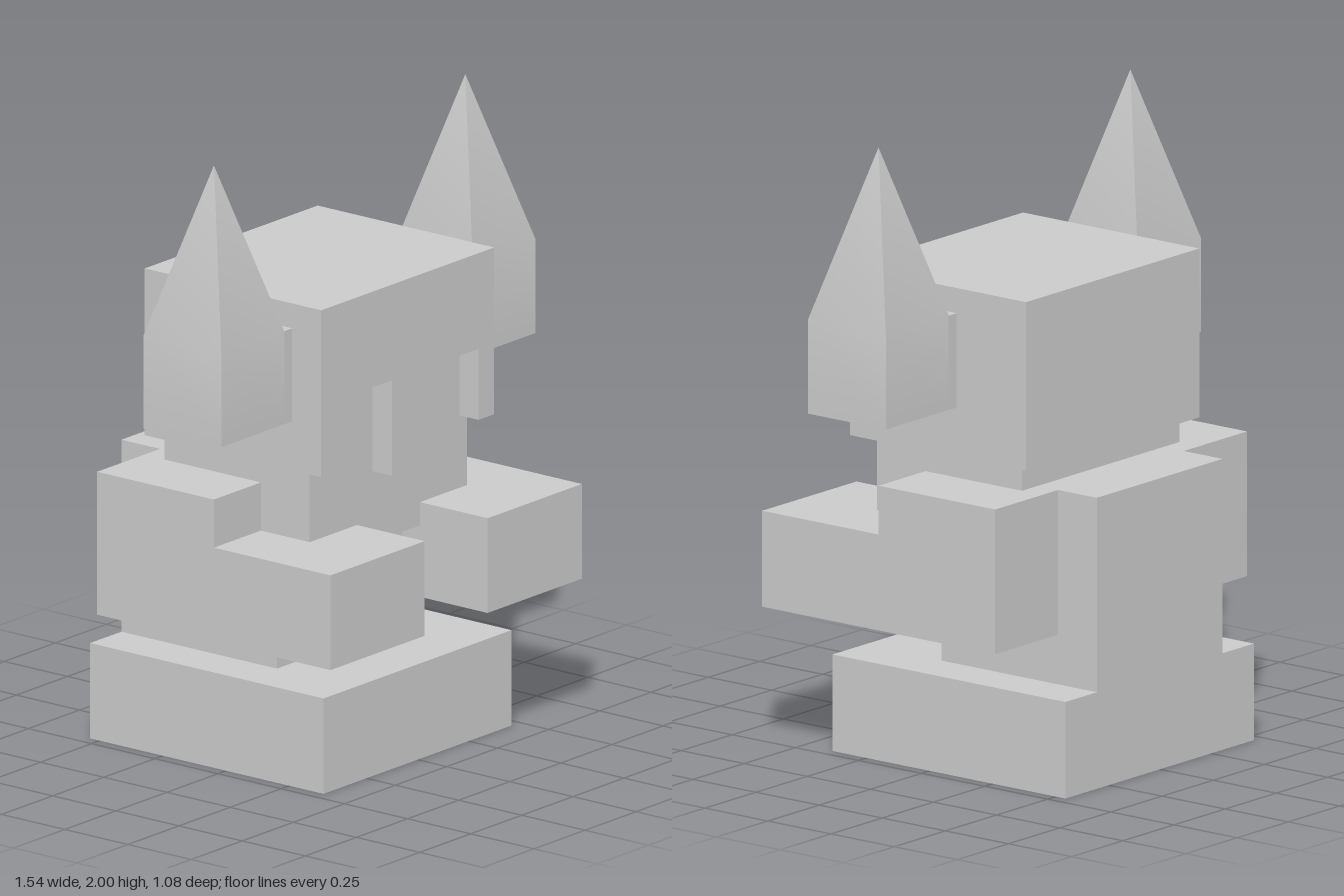
import * as THREE from 'three';
import { toCreasedNormals } from 'three/addons/utils/BufferGeometryUtils.js';

export function createModel() {
  const model = new THREE.Group();
  model.name = 'hornedFigure';
  const material = new THREE.MeshStandardMaterial({ color: 0xcccccc });

  function add(name, geometry, parent = model) {
    const mesh = new THREE.Mesh(geometry, material);
    mesh.name = name;
    parent.add(mesh);
    return mesh;
  }

  // Block given by its limits along each axis
  function block(name, [x0, x1], [y0, y1], [z0, z1], parent) {
    const geometry = new THREE.BoxGeometry(x1 - x0, y1 - y0, z1 - z0);
    geometry.translate((x0 + x1) / 2, (y0 + y1) / 2, (z0 + z1) / 2);
    return add(name, geometry, parent);
  }

  // Body
  block('base', [-0.46, 0.46], [0, 0.307], [-0.538, 0.385]);
  block('torso', [-0.307, 0.307], [0.307, 0.925], [-0.538, 0.077]);

  // Head inside the helmet
  block('face', [-0.385, 0.385], [0.695, 1.1], [-0.305, 0.27]);
  block('helmet', [-0.423, 0.423], [1.003, 1.54], [-0.352, 0.27]);

  // Helmet front with eye openings and a nose guard
  const visor = new THREE.Shape([
    [-0.423, 1.003], [-0.347, 1.003], [-0.347, 1.232], [-0.077, 1.232],
    [-0.077, 0.925], [0.077, 0.925], [0.077, 1.232], [0.347, 1.232],
    [0.347, 1.003], [0.423, 1.003], [0.423, 1.54], [-0.423, 1.54],
  ].map(([x, y]) => new THREE.Vector2(x, y)));
  const visorGeometry = new THREE.ExtrudeGeometry(visor, { depth: 0.076, bevelEnabled: false });
  visorGeometry.translate(0, 0, 0.27);
  add('helmetVisor', visorGeometry);

  // Square horn with a softly shaded taper
  const radius = 0.154 * Math.SQRT2;
  const hornProfile = [[0, 1.16], [radius, 1.16], [radius, 1.46], [0, 2]]
    .map(([r, y]) => new THREE.Vector2(r, y));
  const hornBase = new THREE.LatheGeometry(hornProfile, 4);
  hornBase.rotateY(Math.PI / 4);
  const hornGeometry = toCreasedNormals(hornBase, 0.5);

  // Arms and horns on both sides
  for (const [side, s] of [['left', 1], ['right', -1]]) {
    const span = (a, b) => (s > 0 ? [a, b] : [-b, -a]);

    const arm = new THREE.Group();
    arm.name = side + 'Arm';
    model.add(arm);
    block('upperArm', span(0.307, 0.615), [0.465, 0.925], [-0.385, 0.077], arm);
    block('forearm', span(0.307, 0.615), [0.465, 0.77], [0.077, 0.538], arm);
    block('hand', span(0.154, 0.307), [0.465, 0.77], [0.23, 0.538], arm);

    block(side + 'HornMount', span(0.42, 0.462), [1.16, 1.46], [-0.077, 0.231]);
    add(side + 'Horn', hornGeometry).position.set(s * 0.615, 0, 0.077);
  }

  return model;
}
